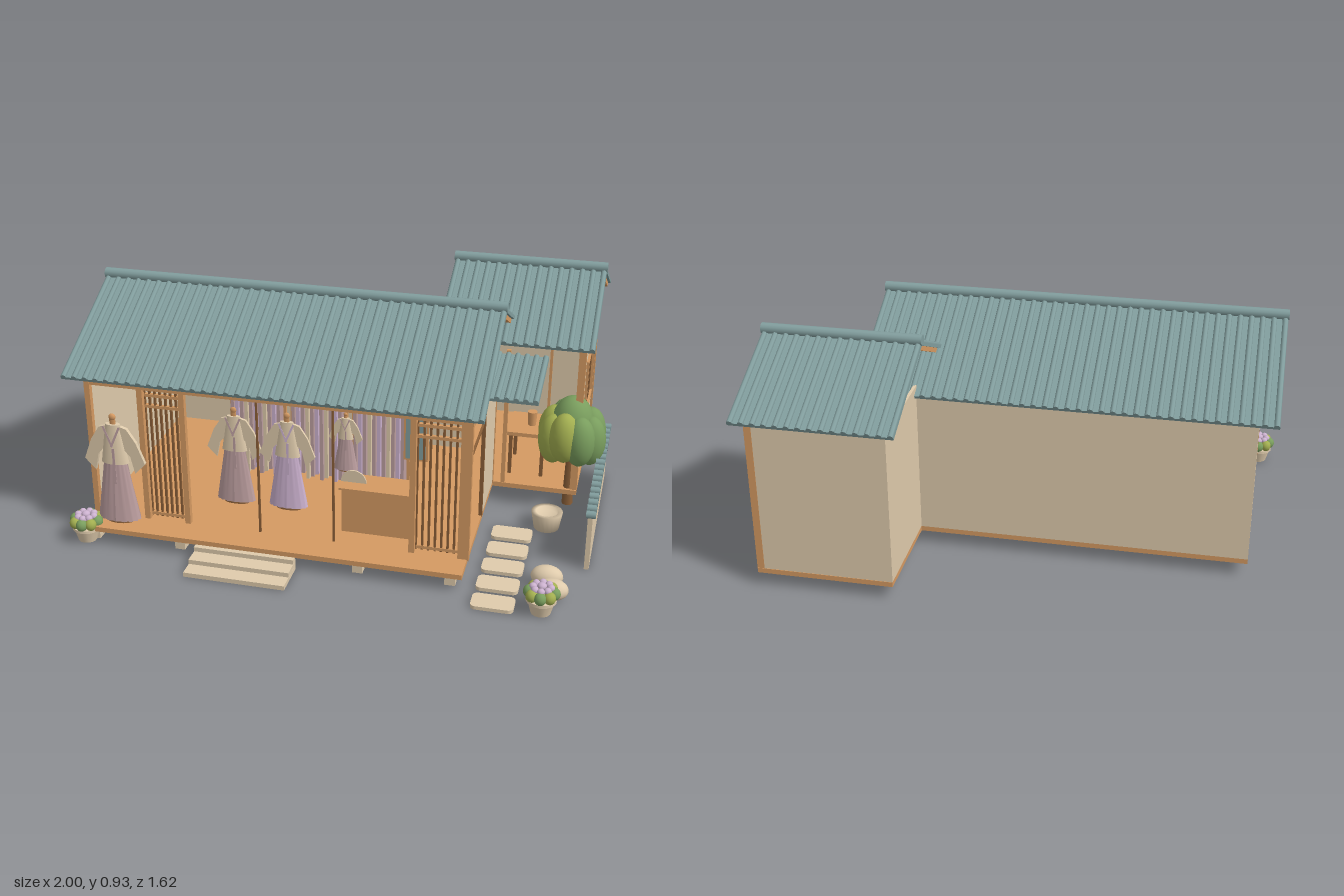
import * as THREE from 'three';

const mat = (name, color) => {
  const m = new THREE.MeshStandardMaterial({ color });
  m.name = name;
  return m;
};

export function createModel() {
  const root = new THREE.Group();
  root.name = 'clothingShop';
  const M = {
    tile: mat('roofTile', 0x829e9e), timber: mat('timber', 0xd59a62),
    dark: mat('darkTimber', 0x8a5f38), plaster: mat('plaster', 0xdfcbac),
    mauve: mat('mauveCloth', 0xbd9fa0), lilac: mat('lilacCloth', 0xccb2cf),
    leaf: mat('leafGreen', 0x7a9e5e), olive: mat('oliveGreen', 0xa2ae50),
  };

  const add = (name, geo, m, x = 0, y = 0, z = 0, parent = root) => {
    const o = new THREE.Mesh(geo, m);
    o.name = name;
    o.position.set(x, y, z);
    parent.add(o);
    return o;
  };
  // box given by its minimum and maximum on each axis
  const box = (name, m, x0, x1, y0, y1, z0, z1, parent = root) =>
    add(name, new THREE.BoxGeometry(x1 - x0, y1 - y0, z1 - z0), m,
      (x0 + x1) / 2, (y0 + y1) / 2, (z0 + z1) / 2, parent);
  const post = (x, z, y1, w = 0.022, m = M.timber) =>
    box('post', m, x - w / 2, x + w / 2, 0.07, y1, z - w / 2, z + w / 2);
  const ball = (name, m, x, y, z, rx, ry, rz, parent = root) => {
    const o = add(name, new THREE.SphereGeometry(1, 16, 12), m, x, y, z, parent);
    o.scale.set(rx, ry, rz);
    return o;
  };

  // one tiled slope from (ya, za) down to (yb, zb), with round ribs
  const slope = (name, x0, x1, ya, za, yb, zb, spacing = 0.043) => {
    const g = new THREE.Group();
    g.name = name;
    const len = Math.hypot(yb - ya, zb - za), dir = Math.sign(zb - za);
    g.position.set((x0 + x1) / 2, (ya + yb) / 2, (za + zb) / 2);
    g.rotation.x = dir * Math.atan2(ya - yb, Math.abs(zb - za));
    add('tileBed', new THREE.BoxGeometry(x1 - x0, 0.012, len), M.tile, 0, -0.006, 0, g);
    const n = Math.round((x1 - x0) / spacing);
    const rib = new THREE.CylinderGeometry(0.011, 0.011, len, 8);
    rib.rotateX(Math.PI / 2);
    for (let i = 0; i <= n; i++)
      add('tileRib', rib, M.tile, -(x1 - x0) / 2 + 0.011 + i * (x1 - x0 - 0.022) / n, 0, 0, g);
    root.add(g);
    return { g, len };
  };

  // gabled roof with ridge and timber edge boards
  const roof = (name, x0, x1, yr, zr, ye, half) => {
    for (const s of [1, -1]) {
      const { g, len } = slope(name, x0, x1, yr, zr, ye, zr + s * half);
      const e = (x1 - x0) / 2;
      for (const k of [1, -1])
        add('edgeBoard', new THREE.BoxGeometry(0.022, 0.018, len - 0.04), M.timber, k * (e - 0.022), -0.021, 0, g);
    }
    const ridge = new THREE.CylinderGeometry(0.021, 0.021, x1 - x0 + 0.006, 12);
    ridge.rotateZ(Math.PI / 2);
    add('ridge', ridge, M.tile, (x0 + x1) / 2, yr + 0.008, zr);
  };
  const gable = (x, zc, half, y0, y1) => {
    const s = new THREE.Shape([[-half, y0], [half, y0], [0, y1]].map(p => new THREE.Vector2(...p)));
    const g = new THREE.ExtrudeGeometry(s, { depth: 0.012, bevelEnabled: false });
    g.rotateY(Math.PI / 2);
    add('gable', g, M.plaster, x, 0, zc);
  };

  roof('mainRoof', -1, 0.598, 0.9, 0.115, 0.662, 0.48);
  gable(0.54, 0.115, 0.425, 0.662, 0.875);
  roof('annexRoof', 0.312, 0.925, 0.905, -0.405, 0.715, 0.405);
  gable(0.868, -0.405, 0.345, 0.705, 0.875);
  slope('porchRoof', 0.55, 0.752, 0.668, -0.01, 0.612, 0.29, 0.04);
  box('porchBeam', M.timber, 0.55, 0.74, 0.59, 0.602, 0.24, 0.256);

  // floors, footing stones and front steps
  box('mainFloor', M.timber, -0.925, 0.55, 0.055, 0.075, -0.335, 0.67);
  box('annexFloor', M.timber, 0.362, 0.89, 0.055, 0.075, -0.748, -0.06);
  for (let i = 0; i < 5; i++) {
    const x = -0.9 + i * 0.35;
    box('footing', M.plaster, x - 0.02, x + 0.02, 0, 0.055, 0.59, 0.63);
  }
  [[0.81, 0.018], [0.75, 0.037], [0.69, 0.056]].forEach(([z, y], i) =>
    box('step', M.plaster, -0.47, -0.08, i * 0.019, y, 0.66, z));

  // main walls and frame
  box('mainBackWall', M.plaster, -0.925, 0.366, 0.075, 0.665, -0.335, -0.322);
  box('mainLeftWall', M.plaster, -0.925, -0.91, 0.075, 0.632, -0.33, 0.55);
  box('mainRightWall', M.plaster, 0.54, 0.55, 0.075, 0.63, -0.06, 0.22);
  for (const x of [-0.915, -0.705, -0.54, 0.34, 0.525, 0.545]) post(x, 0.55, 0.645);
  for (const x of [-0.25, 0.04]) post(x, 0.55, 0.63, 0.008, M.dark);
  post(0.545, 0.22, 0.64, 0.014, M.dark);
  post(0.545, -0.06, 0.64, 0.016);
  box('frontBeam', M.timber, -0.925, 0.555, 0.625, 0.65, 0.54, 0.56);
  box('sideBeam', M.timber, 0.539, 0.551, 0.592, 0.602, 0.22, 0.54);
  box('sideRail', M.dark, 0.541, 0.549, 0.472, 0.481, 0.22, 0.54);

  // sliding lattice doors
  const lattice = (x0, x1) => {
    for (let i = 0; i <= 7; i++) {
      const x = x0 + (x1 - x0) * i / 7;
      box('latticeBar', M.dark, x - 0.004, x + 0.004, 0.08, 0.63, 0.528, 0.538);
    }
    for (const y of [0.085, 0.545, 0.59])
      box('latticeRail', M.timber, x0, x1, y, y + 0.012, 0.526, 0.54);
  };
  lattice(-0.695, -0.55);
  lattice(0.352, 0.52);

  // annex walls, frame and barred window
  box('annexBackWall', M.plaster, 0.362, 0.885, 0.075, 0.68, -0.746, -0.733);
  box('annexLeftWall', M.plaster, 0.362, 0.374, 0.075, 0.69, -0.74, -0.325);
  box('annexWallFront', M.plaster, 0.868, 0.882, 0.075, 0.675, -0.265, -0.07);
  box('annexWallRear', M.plaster, 0.868, 0.882, 0.075, 0.675, -0.74, -0.59);
  box('annexWallLow', M.plaster, 0.868, 0.882, 0.075, 0.285, -0.59, -0.265);
  box('annexWallHigh', M.plaster, 0.868, 0.882, 0.55, 0.675, -0.59, -0.265);
  post(0.877, -0.08, 0.68, 0.028);
  post(0.877, -0.36, 0.68, 0.018);
  post(0.877, -0.585, 0.68, 0.01, M.dark);
  post(0.877, -0.733, 0.68, 0.028);
  post(0.7, -0.729, 0.68, 0.012);
  post(0.59, -0.07, 0.66, 0.016);
  box('annexSideBeam', M.dark, 0.866, 0.886, 0.672, 0.682, -0.745, -0.07);
  box('annexBackRail', M.timber, 0.55, 0.87, 0.61, 0.62, -0.734, -0.726);
  for (const y of [0.28, 0.543])
    box('windowRail', M.timber, 0.864, 0.892, y, y + 0.014, -0.595, -0.26);
  for (const z of [-0.59, -0.27])
    box('windowJamb', M.timber, 0.864, 0.892, 0.28, 0.555, z - 0.007, z + 0.007);
  for (let i = 1; i < 10; i++) {
    const z = -0.59 + i * 0.032;
    box('windowBar', M.dark, 0.871, 0.883, 0.29, 0.55, z - 0.005, z + 0.005);
  }

  // tea table with cup
  box('tableTop', M.timber, 0.59, 0.75, 0.252, 0.268, -0.34, -0.14);
  for (const x of [0.605, 0.735]) for (const z of [-0.325, -0.155])
    box('tableLeg', M.dark, x - 0.007, x + 0.007, 0.075, 0.252, z - 0.007, z + 0.007);
  add('cup', new THREE.CylinderGeometry(0.02, 0.016, 0.06, 12), M.timber, 0.68, 0.298, -0.23);

  // clothing racks
  for (const x0 of [-0.505, -0.25, 0.005]) {
    box('rackRail', M.timber, x0, x0 + 0.225, 0.525, 0.54, 0.092, 0.108);
    for (const x of [x0, x0 + 0.225])
      box('rackLeg', M.timber, x - 0.006, x + 0.006, 0.075, 0.54, 0.093, 0.107);
    for (let i = 0; i < 11; i++) {
      const x = x0 + 0.016 + i * 0.0193;
      box('hangingGarment', [M.mauve, M.lilac, M.mauve, M.plaster][i % 4], x - 0.007, x + 0.007,
        0.1 + (i % 3) * 0.012, 0.522, 0.055, 0.145);
    }
  }

  // dressed stands: flared skirt, jacket, wide sleeves, crossed collar
  const sleeve = new THREE.ExtrudeGeometry(new THREE.Shape(
    [[0.02, 0.485], [0.055, 0.475], [0.09, 0.42], [0.122, 0.335], [0.08, 0.29], [0.065, 0.36], [0.03, 0.4]]
      .map(p => new THREE.Vector2(...p))), { depth: 0.03, bevelEnabled: false });
  sleeve.translate(0, 0, -0.015);
  const figure = (name, x, y, z, skirtMat, s, flat) => {
    const g = new THREE.Group();
    g.name = name;
    g.position.set(x, y, z);
    g.scale.set(s, s, s * flat);
    root.add(g);
    const skirt = new THREE.CylinderGeometry(0.045, 0.087, 0.25, 32, 1);
    const p = skirt.attributes.position;
    for (let i = 0; i < p.count; i++) { // pleats
      const k = i % 2 ? 1 : 0.9;
      p.setX(i, p.getX(i) * k);
      p.setZ(i, p.getZ(i) * k);
    }
    skirt.computeVertexNormals();
    add('skirt', skirt, skirtMat, 0, 0.215, 0, g);
    add('jacket', new THREE.CylinderGeometry(0.03, 0.056, 0.16, 16), M.plaster, 0, 0.41, 0, g);
    add('sleeve', sleeve, M.plaster, 0, 0, 0, g);
    add('sleeve', sleeve, M.plaster, 0, 0, 0, g).rotation.y = Math.PI;
    add('neck', new THREE.CylinderGeometry(0.012, 0.012, 0.04, 10), M.timber, 0, 0.5, 0, g);
    ball('knob', M.timber, 0, 0.518, 0, 0.014, 0.014, 0.018, g);
    for (const k of [1, -1]) {
      const c = box('collar', skirtMat, -0.004, 0.004, -0.045, 0.045, -0.002, 0.002, g);
      c.position.set(k * 0.015, 0.445, 0.046);
      c.rotation.set(-0.16, 0, -k * 0.4);
    }
    box('ribbon', skirtMat, 0.002, 0.012, 0.25, 0.4, 0.06, 0.064, g);
    add('standBase', new THREE.CylinderGeometry(0.05, 0.055, 0.015, 16), M.dark, 0, 0.083, 0, g);
  };
  figure('porchDress', -0.805, 0, 0.595, M.mauve, 1, 0.5);
  figure('mauveDress', -0.41, 0.01, 0.355, M.mauve, 0.91, 0.4);
  figure('lilacDress', -0.195, 0.01, 0.355, M.lilac, 0.91, 0.4);
  figure('smallDress', 0.035, 0.23, 0.345, M.mauve, 0.54, 0.5);

  // sales counter, mirror and fan
  box('counter', M.timber, 0.05, 0.32, 0.075, 0.255, 0.36, 0.47);
  box('counterTop', M.timber, 0.04, 0.33, 0.255, 0.263, 0.35, 0.475);
  box('mirrorFrame', M.timber, 0.232, 0.328, 0.27, 0.51, 0.19, 0.204);
  box('mirror', M.tile, 0.24, 0.32, 0.28, 0.5, 0.204, 0.21);
  const fan = new THREE.CylinderGeometry(0.05, 0.05, 0.006, 14, 1, false, Math.PI / 2, Math.PI);
  fan.rotateX(Math.PI / 2);
  add('fan', fan, M.plaster, 0.085, 0.265, 0.42);

  // yard wall with round coping tiles
  box('yardWall', M.plaster, 0.968, 0.986, 0, 0.222, -0.365, 0.4);
  const cap = new THREE.CylinderGeometry(0.0145, 0.0145, 0.036, 10);
  cap.rotateZ(Math.PI / 2);
  for (let i = 0; i < 17; i++) add('copingTile', cap, M.tile, 0.979, 0.236, 0.4 - i * 0.0468);

  // stepping stones, basin and boulders
  const r = 0.02, w = 0.078, h = 0.045;
  const outline = new THREE.Shape();
  outline.absarc(w - r, h - r, r, 0, Math.PI / 2);
  outline.absarc(-w + r, h - r, r, Math.PI / 2, Math.PI);
  outline.absarc(-w + r, -h + r, r, Math.PI, Math.PI * 1.5);
  outline.absarc(w - r, -h + r, r, Math.PI * 1.5, Math.PI * 2);
  const slab = new THREE.ExtrudeGeometry(outline, { depth: 0.014, bevelEnabled: false, curveSegments: 4 });
  slab.rotateX(-Math.PI / 2);
  for (let i = 0; i < 5; i++) add('steppingStone', slab, M.plaster, 0.673, 0, 0.225 + i * 0.123);
  add('basin', new THREE.LatheGeometry([[0, 0], [0.05, 0], [0.062, 0.07], [0.044, 0.07], [0.04, 0.055], [0, 0.055]]
    .map(p => new THREE.Vector2(...p)), 20), M.plaster, 0.795, 0, 0.122);
  ball('boulder', M.plaster, 0.845, 0.042, 0.547, 0.06, 0.042, 0.043);
  ball('boulder', M.plaster, 0.873, 0.04, 0.627, 0.06, 0.04, 0.043);

  // round clipped tree
  add('trunk', new THREE.CylinderGeometry(0.015, 0.022, 0.25, 8), M.dark, 0.855, 0.125, -0.09);
  for (let i = 0; i < 8; i++) {
    const a = i * Math.PI / 4 + 0.3;
    ball('treeLobe', i >= 2 && i <= 4 ? M.olive : M.leaf, 0.855 + Math.cos(a) * 0.078,
      0.305 + (i % 3) * 0.012, -0.09 + Math.sin(a) * 0.078, 0.062, 0.105, 0.062);
  }
  ball('treeCrown', M.leaf, 0.855, 0.36, -0.09, 0.085, 0.12, 0.085);

  // flower pots
  for (const [x, z] of [[0.845, 0.72], [-0.927, 0.64]]) {
    add('pot', new THREE.CylinderGeometry(0.05, 0.036, 0.052, 14), M.plaster, x, 0.026, z);
    add('potRim', new THREE.CylinderGeometry(0.056, 0.056, 0.012, 14), M.plaster, x, 0.056, z);
    for (let i = 0; i < 8; i++) {
      const a = i * Math.PI / 4, c = Math.cos(a), s = Math.sin(a);
      ball('leafTuft', i % 2 ? M.olive : M.leaf, x + c * 0.045, 0.082, z + s * 0.045, 0.022, 0.024, 0.022);
      ball('blossom', M.lilac, x + c * 0.032, 0.104, z + s * 0.032, 0.014, 0.013, 0.014);
    }
    ball('blossom', M.lilac, x, 0.109, z, 0.017, 0.013, 0.017);
  }
  return root;
}
